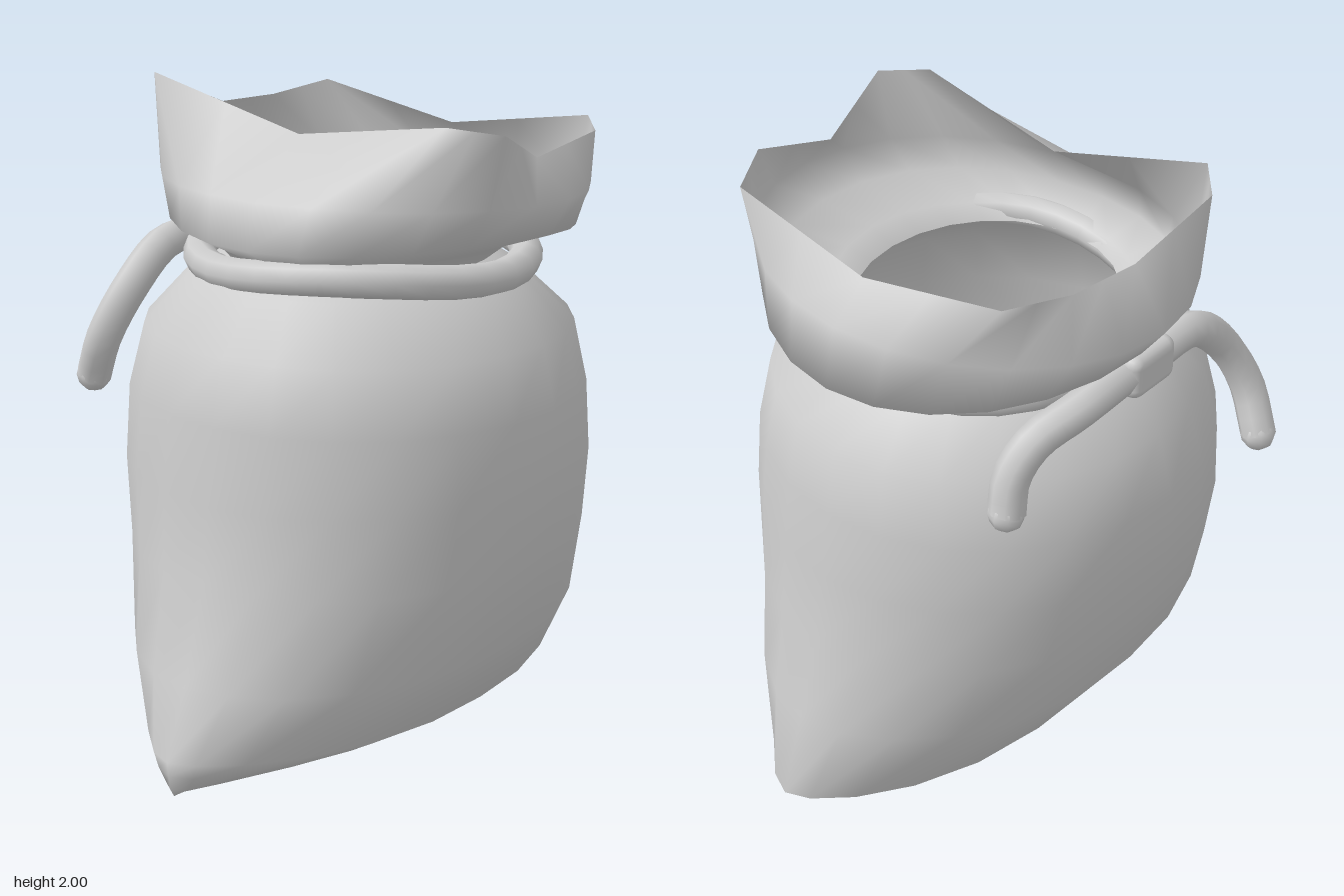
import * as THREE from 'three';
import { RoundedBoxGeometry } from 'three/addons/geometries/RoundedBoxGeometry.js';

const N = 24;
const cloth = new THREE.MeshStandardMaterial({ color: 0xcccccc, side: THREE.DoubleSide });
const cord = new THREE.MeshStandardMaterial({ color: 0xcccccc });

// Closed cross-section; lens = 1 gives pointed side seams, 0 an ellipse.
function ring(y, xL, xR, zF, zB, lens = 0, tilt = 0, wave = 0) {
  const points = [];
  for (let i = 0; i < N; i++) {
    const t = (i / N) * Math.PI * 2, c = Math.cos(t), s = Math.sin(t);
    const pointed = Math.sign(s) * (1 - Math.pow(Math.abs(c), 2.6));
    const depth = Math.abs(s) < 1e-6 ? 0 : THREE.MathUtils.lerp(s, pointed, lens);
    const x = (xL + xR) / 2 + c * (xR - xL) / 2;
    const z = (zF + zB) / 2 + depth * (zF - zB) / 2;
    points.push(new THREE.Vector3(x, y + tilt * x + wave * Math.cos(2 * t), z));
  }
  return points;
}

// Smooth skin through a stack of cross-sections.
function loft(rings, name) {
  const index = [];
  for (let r = 0; r < rings.length - 1; r++) {
    for (let i = 0; i < N; i++) {
      const j = (i + 1) % N;
      const a = r * N + i, b = r * N + j, c = a + N, d = b + N;
      index.push(a, c, b, b, c, d);
    }
  }
  const geometry = new THREE.BufferGeometry().setFromPoints(rings.flat());
  geometry.setIndex(index);
  geometry.computeVertexNormals();
  const mesh = new THREE.Mesh(geometry, cloth);
  mesh.name = name;
  return mesh;
}

// Uneven open rim, from the left side round the front to the back.
function rim() {
  const p = [
    [0.52, 1.8, 0.02], [0.49, 1.87, 0.52], [0.3, 1.86, 0.65], [0.06, 1.81, 0.6],
    [-0.21, 1.91, 0.66], [-0.29, 1.93, 0.52], [-0.25, 1.86, 0], [-0.28, 2.0, -0.51],
    [-0.18, 1.98, -0.6], [0.08, 1.87, -0.55], [0.3, 1.87, -0.52], [0.51, 1.9, -0.46],
  ].map((v) => new THREE.Vector3(...v));
  return p.flatMap((v, i) => [v, v.clone().lerp(p[(i + 1) % p.length], 0.5)]);
}

function tube(points, radius, closed, name) {
  const curve = new THREE.CatmullRomCurve3(points.map((v) => new THREE.Vector3(...v)), closed);
  const mesh = new THREE.Mesh(new THREE.TubeGeometry(curve, closed ? 32 : 14, radius, 8, closed), cord);
  mesh.name = name;
  return mesh;
}

// Loose cord end with a rounded tip.
function ropeTail(points, name) {
  const group = new THREE.Group();
  group.name = name;
  const tip = new THREE.Mesh(new THREE.SphereGeometry(0.054, 8, 6), cord);
  tip.name = 'ropeTip';
  tip.position.set(...points[points.length - 1]);
  group.add(tube(points, 0.054, false, 'ropeStrand'), tip);
  return group;
}

export function createModel() {
  const model = new THREE.Group();
  model.name = 'tiedSack';

  // Pillow-like bottom, bulging sides and gathered shoulder
  const neck = ring(1.485, -0.41, 0.41, 0.42, -0.34);
  model.add(loft([
    ring(0.036, -0.92, 0.8, 0.05, 0.05, 0, -0.045),
    ring(0.06, -0.93, 0.84, 0.25, -0.16, 0.3, -0.045),
    ring(0.105, -0.935, 0.89, 0.4, -0.31, 0.45, -0.04),
    ring(0.15, -0.94, 0.94, 0.49, -0.4, 0.5, -0.04),
    ring(0.38, -0.855, 0.855, 0.63, -0.55, 0.15),
    ring(0.65, -0.755, 0.78, 0.69, -0.63, 0.05),
    ring(0.88, -0.72, 0.74, 0.72, -0.67),
    ring(1.1, -0.685, 0.71, 0.71, -0.67),
    ring(1.29, -0.65, 0.66, 0.67, -0.61),
    ring(1.44, -0.5, 0.51, 0.5, -0.47),
    neck,
  ], 'sackBody'));

  // Flared collar above the tie
  model.add(loft([
    neck,
    ring(1.525, -0.43, 0.48, 0.48, -0.41, 0, -0.02, -0.015),
    ring(1.57, -0.53, 0.67, 0.64, -0.58, 0, -0.05, -0.025),
    ring(1.7, -0.48, 0.64, 0.7, -0.66),
    rim(),
  ], 'collar'));

  // Cord round the neck
  const loop = [];
  for (let i = 0; i < 16; i++) {
    const t = (i / 16) * Math.PI * 2;
    loop.push([0.02 + 0.475 * Math.cos(t), 1.485 + 0.015 * Math.sin(3 * t), 0.03 + 0.495 * Math.sin(t)]);
  }
  model.add(tube(loop, 0.05, true, 'neckRope'));

  // Knot and two loose ends at the back
  const knot = new THREE.Mesh(new RoundedBoxGeometry(0.19, 0.14, 0.16, 2, 0.035), cord);
  knot.name = 'knot';
  knot.position.set(-0.01, 1.49, -0.5);
  model.add(knot);
  model.add(ropeTail([[0.04, 1.49, -0.52], [0.26, 1.48, -0.52], [0.4, 1.43, -0.48],
    [0.47, 1.34, -0.46], [0.5, 1.24, -0.47]], 'shortTail'));
  model.add(ropeTail([[-0.06, 1.49, -0.52], [-0.25, 1.48, -0.52], [-0.38, 1.37, -0.54],
    [-0.44, 1.22, -0.6], [-0.42, 1.08, -0.67]], 'longTail'));

  return model;
}
